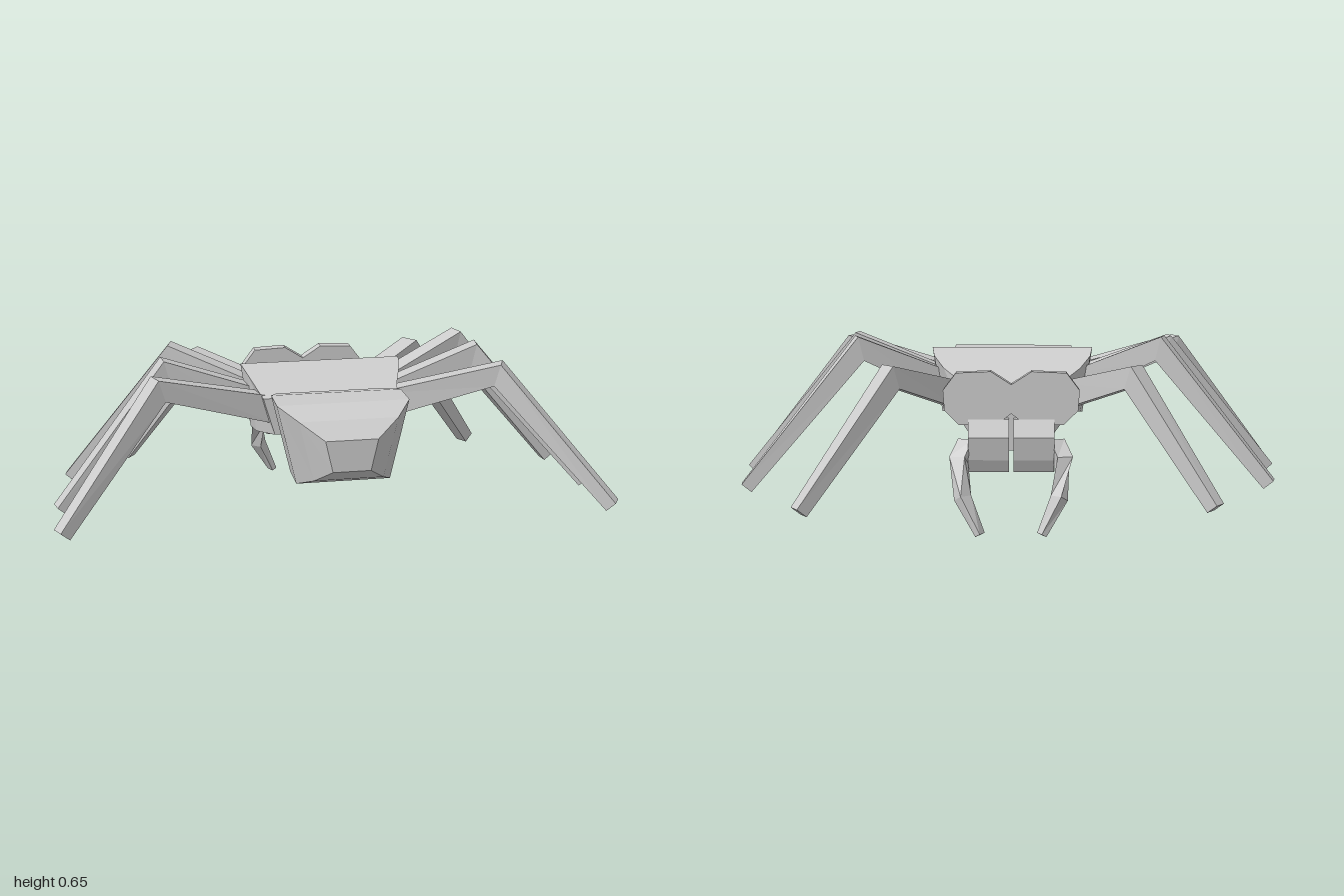
import * as THREE from 'three';

const material = new THREE.MeshStandardMaterial({ color: 0xcccccc, flatShading: true });

// Skins a list of four-cornered rings and closes both ends.
function loft(rings) {
  const pos = [];
  const quad = (a, b, c, d) => [a, b, c, a, c, d].forEach((p) => pos.push(p.x, p.y, p.z));
  for (let i = 0; i < rings.length - 1; i++) {
    for (let j = 0; j < 4; j++) {
      const k = (j + 1) % 4;
      quad(rings[i][j], rings[i][k], rings[i + 1][k], rings[i + 1][j]);
    }
  }
  const first = rings[0], last = rings[rings.length - 1];
  quad(first[3], first[2], first[1], first[0]);
  quad(last[0], last[1], last[2], last[3]);
  const geo = new THREE.BufferGeometry();
  geo.setAttribute('position', new THREE.Float32BufferAttribute(pos, 3));
  geo.computeVertexNormals();
  return geo;
}

// Body section rows: z, half width at top, half width at bottom, top y, bottom y.
function bodyLoft(rows) {
  return loft(rows.map(([z, t, b, hi, lo]) => [
    new THREE.Vector3(-t, hi, z), new THREE.Vector3(t, hi, z),
    new THREE.Vector3(b, lo, z), new THREE.Vector3(-b, lo, z),
  ]));
}

// Sweeps a rectangle along a bent path with mitred joints; sizes are [width, thickness].
function limb(path, sizes) {
  const pts = path.map((p) => new THREE.Vector3(...p));
  const up = new THREE.Vector3(0, 1, 0);
  return loft(pts.map((p, i) => {
    const before = pts[i].clone().sub(pts[Math.max(i - 1, 0)]).normalize();
    const after = pts[Math.min(i + 1, pts.length - 1)].clone().sub(pts[i]).normalize();
    const t = before.clone().add(after).normalize();
    const mitre = 1 / t.dot(i ? before : after);
    const s = t.clone().cross(up).normalize();
    const u = s.clone().cross(t);
    const [w, h] = sizes[i];
    return [[-1, 1], [1, 1], [1, -1], [-1, -1]].map(([a, b]) =>
      p.clone().addScaledVector(s, a * w / 2).addScaledVector(u, b * h * mitre / 2));
  }));
}

export function createModel() {
  const model = new THREE.Group();
  const add = (name, geometry, x = 0) => {
    const mesh = new THREE.Mesh(geometry, material);
    mesh.name = name;
    mesh.position.x = x;
    model.add(mesh);
  };
  const offset = -0.008;

  // Body
  add('abdomen', bodyLoft([
    [0.59, 0.09, 0.065, 0.48, 0.37],
    [0.535, 0.17, 0.12, 0.535, 0.325],
    [0.44, 0.23, 0.165, 0.567, 0.285],
    [0.31, 0.23, 0.165, 0.567, 0.285],
    [0.23, 0.2, 0.14, 0.55, 0.31],
    [0.17, 0.17, 0.12, 0.5, 0.39],
  ]), offset);
  add('thorax', bodyLoft([
    [0.19, 0.24, 0.2, 0.52, 0.385],
    [0.07, 0.28, 0.25, 0.58, 0.365],
    [-0.01, 0.295, 0.26, 0.6, 0.36],
    [-0.08, 0.285, 0.25, 0.575, 0.37],
    [-0.18, 0.245, 0.21, 0.54, 0.385],
    [-0.33, 0.14, 0.13, 0.48, 0.3],
  ]), offset);
  add('neck', bodyLoft([
    [-0.31, 0.14, 0.13, 0.48, 0.3],
    [-0.39, 0.14, 0.13, 0.47, 0.275],
  ]), offset);

  // Head: a pair of eight-sided lobes above a pair of jaw blocks
  const lobe = [[0, 0.41], [0.05, 0.37], [0.18, 0.37], [0.23, 0.42],
    [0.235, 0.49], [0.19, 0.55], [0.07, 0.555], [0, 0.51]];
  const jaw = [[0.375, 0.39], [0.43, 0.39], [0.46, 0.33], [0.445, 0.25],
    [0.425, 0.205], [0.38, 0.205]];
  const outline = (pts) => new THREE.Shape(pts.map(([x, y]) => new THREE.Vector2(x, y)));
  for (const side of [1, -1]) {
    const label = side > 0 ? 'left' : 'right';
    const mirrored = side > 0 ? lobe : lobe.map(([x, y]) => [-x, y]).reverse();
    const plate = new THREE.ExtrudeGeometry(outline(mirrored), { depth: 0.045, bevelEnabled: false });
    add(label + 'HeadLobe', plate.translate(0, 0, -0.43), offset);

    const block = new THREE.ExtrudeGeometry(outline(jaw), { depth: 0.14, bevelEnabled: false });
    block.rotateY(Math.PI / 2).translate(side > 0 ? 0.008 : -0.148, 0, 0);
    add(label + 'Jaw', block, offset);

    // Curved fang, tapering to its tip
    add(label + 'Fang', limb(
      [[0.15, 0.3, -0.4], [0.18, 0.25, -0.445], [0.165, 0.13, -0.505], [0.105, 0.008, -0.535]]
        .map(([x, y, z]) => [x * side, y, z]),
      [[0.06, 0.05], [0.055, 0.05], [0.045, 0.04], [0.035, 0.02]]), offset);
  }

  // Legs: root, knee and foot of each
  const legs = {
    leftLeg1: [[0.18, 0.44, -0.17], [0.41, 0.53, -0.37], [0.71, 0.09, -0.56]],
    leftLeg2: [[0.22, 0.46, -0.05], [0.54, 0.61, -0.16], [0.95, 0.11, -0.21]],
    leftLeg3: [[0.22, 0.46, 0.025], [0.56, 0.61, 0.035], [0.98, 0.12, 0.135]],
    leftLeg4: [[0.18, 0.46, 0.12], [0.6, 0.585, 0.235], [0.975, 0.135, 0.455]],
    rightLeg1: [[-0.19, 0.44, -0.17], [-0.43, 0.53, -0.37], [-0.7, 0.105, -0.55]],
    rightLeg2: [[-0.22, 0.46, -0.05], [-0.54, 0.61, -0.145], [-0.93, 0.13, -0.235]],
    rightLeg3: [[-0.22, 0.46, 0.025], [-0.58, 0.6, 0.035], [-0.975, 0.13, 0.13]],
    rightLeg4: [[-0.18, 0.46, 0.12], [-0.62, 0.585, 0.225], [-0.975, 0.135, 0.395]],
  };
  for (const [name, path] of Object.entries(legs)) {
    add(name, limb(path, [[0.075, 0.1], [0.072, 0.07], [0.052, 0.045]]));
  }
  return model;
}
